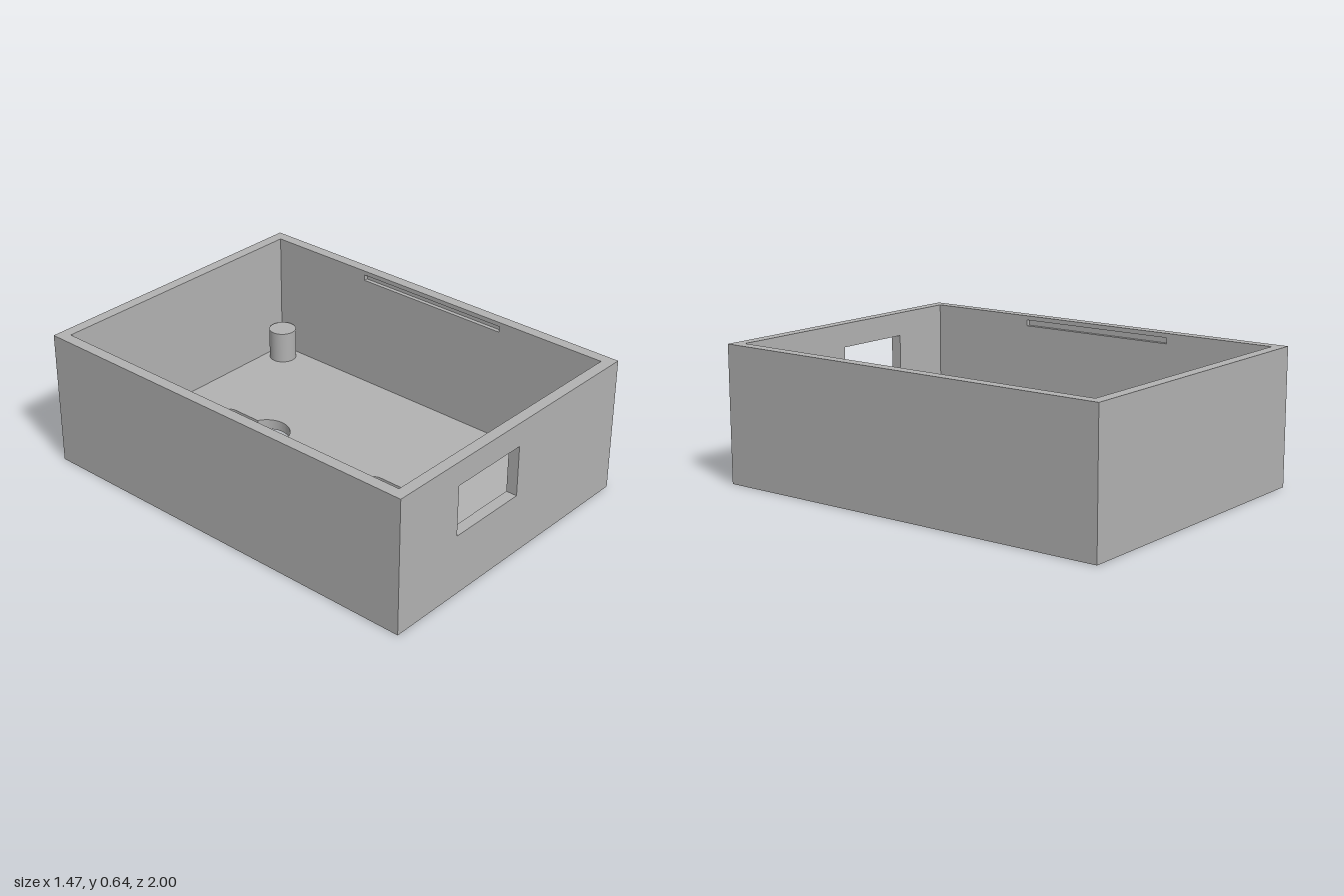
import * as THREE from 'three';

const W = 0.733, D = 1, H = 0.643;   // half width, half depth, height
const T = 0.053, FLOOR = 0.05;       // wall and floor thickness
const GROOVE = 0.02;                 // depth of the lid grooves

// Outline of a rectangle, usable as a shape or as a hole
function rect(PathClass, x0, y0, x1, y1) {
  const p = new PathClass();
  p.moveTo(x0, y0);
  p.lineTo(x1, y0);
  p.lineTo(x1, y1);
  p.lineTo(x0, y1);
  p.closePath();
  return p;
}

// Round hole with a narrow round-ended slot above it
function keyhole(cy) {
  const r = 0.113, s = 0.05, a = Math.asin(s / r);
  const p = new THREE.Path();
  p.absarc(0, cy, r, Math.PI / 2 + a, Math.PI * 2.5 - a, false);
  p.absarc(0, cy + 0.245, s, 0, Math.PI, false);
  p.closePath();
  return p;
}

function plate(shape, depth, holes = []) {
  shape.holes.push(...holes);
  return new THREE.ExtrudeGeometry(shape, { depth, bevelEnabled: false, curveSegments: 32 });
}

export function createModel() {
  const group = new THREE.Group();
  const grey = new THREE.MeshStandardMaterial({ color: 0xb2b2b2 });
  grey.name = 'grey plastic';

  const add = (name, geometry, x = 0, y = 0, z = 0) => {
    const mesh = new THREE.Mesh(geometry, grey);
    mesh.name = name;
    mesh.position.set(x, y, z);
    group.add(mesh);
  };

  // Floor with two wall-mounting keyholes
  const floor = plate(rect(THREE.Shape, T - W, T - D, W - T, D - T), FLOOR,
    [keyhole(0.415), keyhole(-0.492)]);
  add('floor', floor.rotateX(-Math.PI / 2));

  // Front wall with the connector window, plain back wall
  add('frontWall', plate(rect(THREE.Shape, -W, 0, W, H), T,
    [rect(THREE.Path, -0.37, 0.29, 0.03, 0.53)]), 0, 0, D - T);
  add('backWall', new THREE.BoxGeometry(2 * W, H, T), 0, H / 2, T / 2 - D);

  // Side walls: outer skin plus an inner layer cut by the lid groove
  for (const [side, sx] of [['left', 1], ['right', -1]]) {
    const skin = T - GROOVE;
    add(side + 'Wall', new THREE.BoxGeometry(skin, H, 2 * (D - T)), sx * (W - skin / 2), H / 2, 0);
    const inner = plate(rect(THREE.Shape, T - D, 0, D - T, H), GROOVE,
      [rect(THREE.Path, -0.4, 0.594, 0.4, 0.622)]);
    inner.translate(0, 0, -GROOVE / 2).rotateY(Math.PI / 2);
    add(side + 'GrooveLayer', inner, sx * (W - T + GROOVE / 2), 0, 0);
  }

  // Corner posts
  const postTop = 0.206;
  const post = new THREE.CylinderGeometry(0.066, 0.066, postTop - FLOOR, 40);
  for (const x of [-0.6, 0.6]) {
    for (const z of [-0.867, 0.867]) add('post', post, x, (postTop + FLOOR) / 2, z);
  }

  return group;
}
